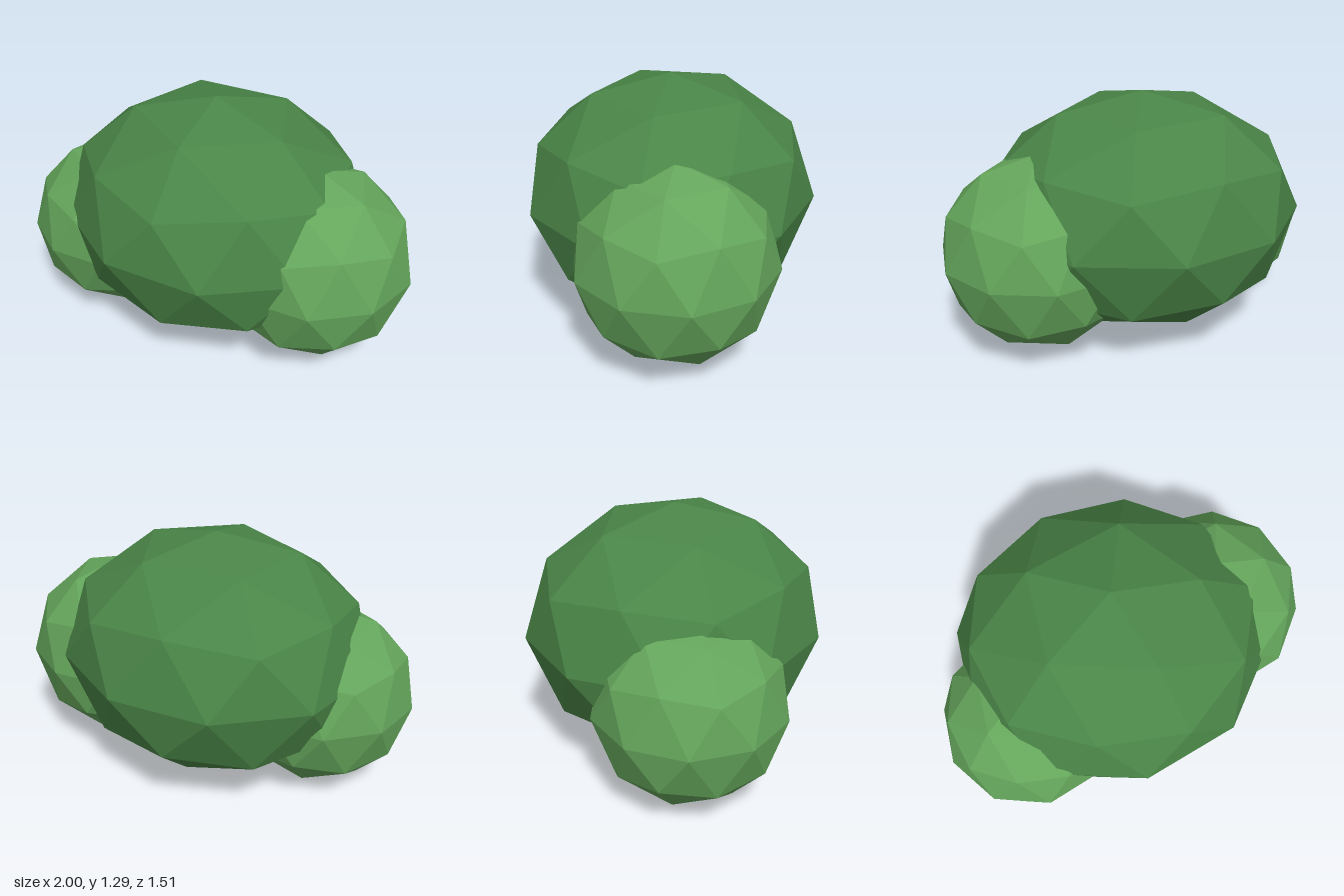
import * as THREE from 'three';

// Faceted ball of foliage with a vertex at its top and bottom poles
function foliageBall(name, color, center, radii) {
  const geometry = new THREE.IcosahedronGeometry(1, 1);
  geometry.rotateZ(-Math.atan(2 / (1 + Math.sqrt(5)))); // bring a corner to the pole
  geometry.scale(...radii);
  geometry.computeVertexNormals();
  const mesh = new THREE.Mesh(
    geometry,
    new THREE.MeshStandardMaterial({ color, flatShading: true })
  );
  mesh.name = name;
  mesh.position.set(...center);
  return mesh;
}

export function createModel() {
  const bush = new THREE.Group();
  bush.name = 'bush';

  const dark = 0x4a8547;
  const light = 0x64a55b;

  // Large central crown, flattened and slightly wider than deep
  bush.add(foliageBall('mainFoliage', dark, [-0.045, 0.67, 0], [0.828, 0.62, 0.757]));

  // Smaller lighter clumps at either side
  bush.add(foliageBall('rightFoliage', light, [-0.55, 0.477, 0.253], [0.474, 0.474, 0.474]));
  bush.add(foliageBall('leftFoliage', light, [0.52, 0.542, -0.127], [0.503, 0.503, 0.503]));

  return bush;
}
